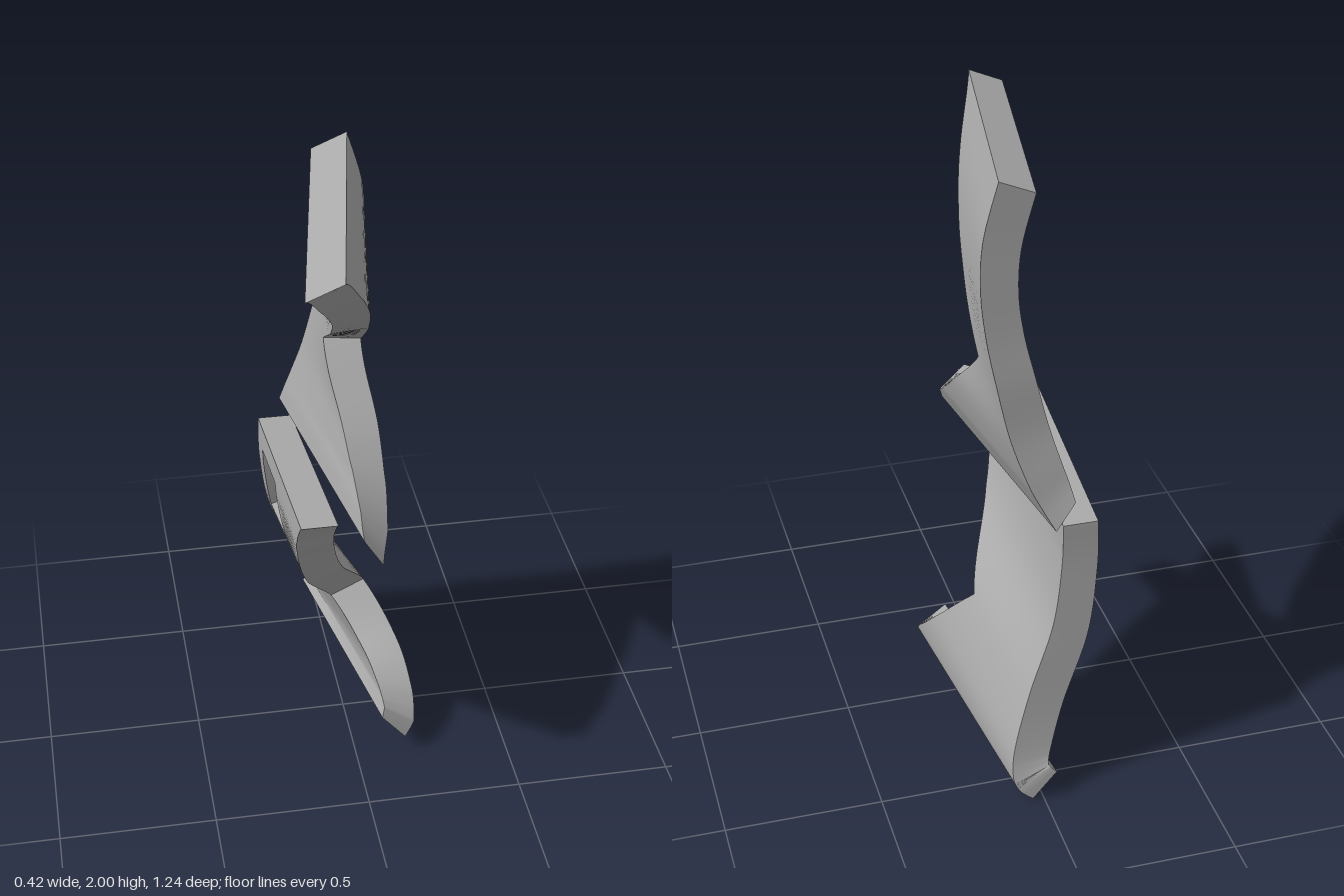
import * as THREE from 'three';
import { toCreasedNormals } from 'three/addons/utils/BufferGeometryUtils.js';

// Stations from bottom to top. Each row: back edge x, y, z; ruling slope dx/dz, dy/dz;
// front edge z; thickness vector x, y
const LOWER = [
  [0.035, 0.005, -0.615, 0.148, 0.062, 0.265, -0.078, 0.092],
  [0.075, 0.04, -0.61, 0.141, 0.08, 0.25, -0.1, 0.075],
  [0.095, 0.09, -0.6, 0.145, 0.11, 0.17, -0.115, 0.035],
  [0.085, 0.19, -0.58, 0.15, 0.17, 0.04, -0.118, -0.02],
  [0.025, 0.37, -0.54, 0.14, 0.2, -0.1, -0.11, -0.055],
  [-0.06, 0.575, -0.495, 0.05, 0.2, 0.16, -0.115, -0.045],
  [-0.095, 0.77, -0.465, 0.01, 0.2, 0.34, -0.115, -0.015],
  [-0.1, 0.91, -0.455, 0.002, 0.205, 0.49, -0.112, 0],
];
const UPPER = [
  [-0.08, 0.89, -0.45, 0.147, 0.015, 0.44, -0.06, 0.095],
  [-0.04, 0.965, -0.43, 0.148, 0.015, 0.36, -0.085, 0.08],
  [0, 1.05, -0.415, 0.147, 0.015, 0.23, -0.105, 0.06],
  [0.05, 1.2, -0.39, 0.11, 0, 0.04, -0.12, 0.03],
  [0.087, 1.37, -0.375, -0.02, -0.03, -0.15, -0.12, 0.015],
  [0.115, 1.53, -0.355, -0.11, -0.04, 0.05, -0.118, -0.01],
  [0.127, 1.68, -0.34, -0.15, -0.04, 0.22, -0.115, -0.025],
  [0.115, 1.83, -0.325, -0.172, -0.035, 0.4, -0.115, -0.035],
  [0.065, 2, -0.31, -0.177, -0.02, 0.62, -0.112, -0.047],
];
const STEPS = 8; // rows between two stations

// Smooth station at parameter t; the front edge stays straight so its notch is sharp
function sample(stations, t) {
  const last = stations.length - 1;
  const i = Math.min(Math.floor(t), last - 1), f = t - i;
  const p0 = stations[Math.max(i - 1, 0)], p1 = stations[i];
  const p2 = stations[i + 1], p3 = stations[Math.min(i + 2, last)];
  return p1.map((a, c) => {
    const b = p2[c];
    if (c === 5) return a + (b - a) * f;
    const m1 = (b - p0[c]) / 2, m2 = (p3[c] - a) / 2;
    return a + m1 * f + (3 * (b - a) - 2 * m1 - m2) * f * f + (2 * (a - b) + m1 + m2) * f ** 3;
  });
}

// Thick ruled sheet; recess = [first row, last row] of a pocket in the inner face
function sheetGeometry(stations, recess) {
  const rows = (stations.length - 1) * STEPS, positions = [];
  const samples = Array.from({ length: rows + 1 }, (_, i) => sample(stations, i / STEPS));

  // Point at row i, column j, thickness k (0 = outer face, 1 = inner face)
  const point = (i, j, k) => {
    const [x, y, z, sx, sy, zf, tx, ty] = samples[i];
    const length = zf - z;
    const d = [0, Math.min(0.11, 0.3 * length), Math.min(0.4, 0.9 * length), length][j];
    return [x + sx * d + tx * k, y + sy * d + ty * k, z + d];
  };
  const quad = (a, b, c, d) => {
    for (const v of [a, b, c, a, c, d]) positions.push(...v);
  };
  const flip = (a, b, c, d) => quad(d, c, b, a);

  // Across-the-thickness walls along a row or down a column
  const rowWall = (make, i, j, k) =>
    make(point(i, j, k), point(i, j, 1), point(i, j + 1, 1), point(i, j + 1, k));
  const columnWall = (make, i, j, k) =>
    make(point(i, j, k), point(i, j, 1), point(i + 1, j, 1), point(i + 1, j, k));

  for (let i = 0; i < rows; i++) {
    for (let j = 0; j < 3; j++) {
      const face = (make, k) =>
        make(point(i, j, k), point(i + 1, j, k), point(i + 1, j + 1, k), point(i, j + 1, k));
      const sunk = recess && j === 1 && i >= recess[0] && i < recess[1];
      face(quad, 0);
      face(flip, sunk ? 0.5 : 1);
      if (sunk) {
        columnWall(flip, i, 1, 0.5);
        columnWall(quad, i, 2, 0.5);
      }
    }
    columnWall(quad, i, 0, 0);
    columnWall(flip, i, 3, 0);
  }
  for (let j = 0; j < 3; j++) {
    rowWall(flip, 0, j, 0);
    rowWall(quad, rows, j, 0);
  }
  if (recess) {
    rowWall(quad, recess[0], 1, 0.5);
    rowWall(flip, recess[1], 1, 0.5);
  }

  const geometry = new THREE.BufferGeometry();
  geometry.setAttribute('position', new THREE.Float32BufferAttribute(positions, 3));
  return toCreasedNormals(geometry, 0.6);
}

export function createModel() {
  const group = new THREE.Group();
  group.name = 'twistedSheets';
  const grey = new THREE.MeshStandardMaterial({ color: 0xaaaaaa });
  grey.name = 'grey';

  const add = (name, geometry) => {
    const mesh = new THREE.Mesh(geometry, grey);
    mesh.name = name;
    group.add(mesh);
  };
  add('lowerSheet', sheetGeometry(LOWER, [42, 51]));
  add('upperSheet', sheetGeometry(UPPER));
  return group;
}
